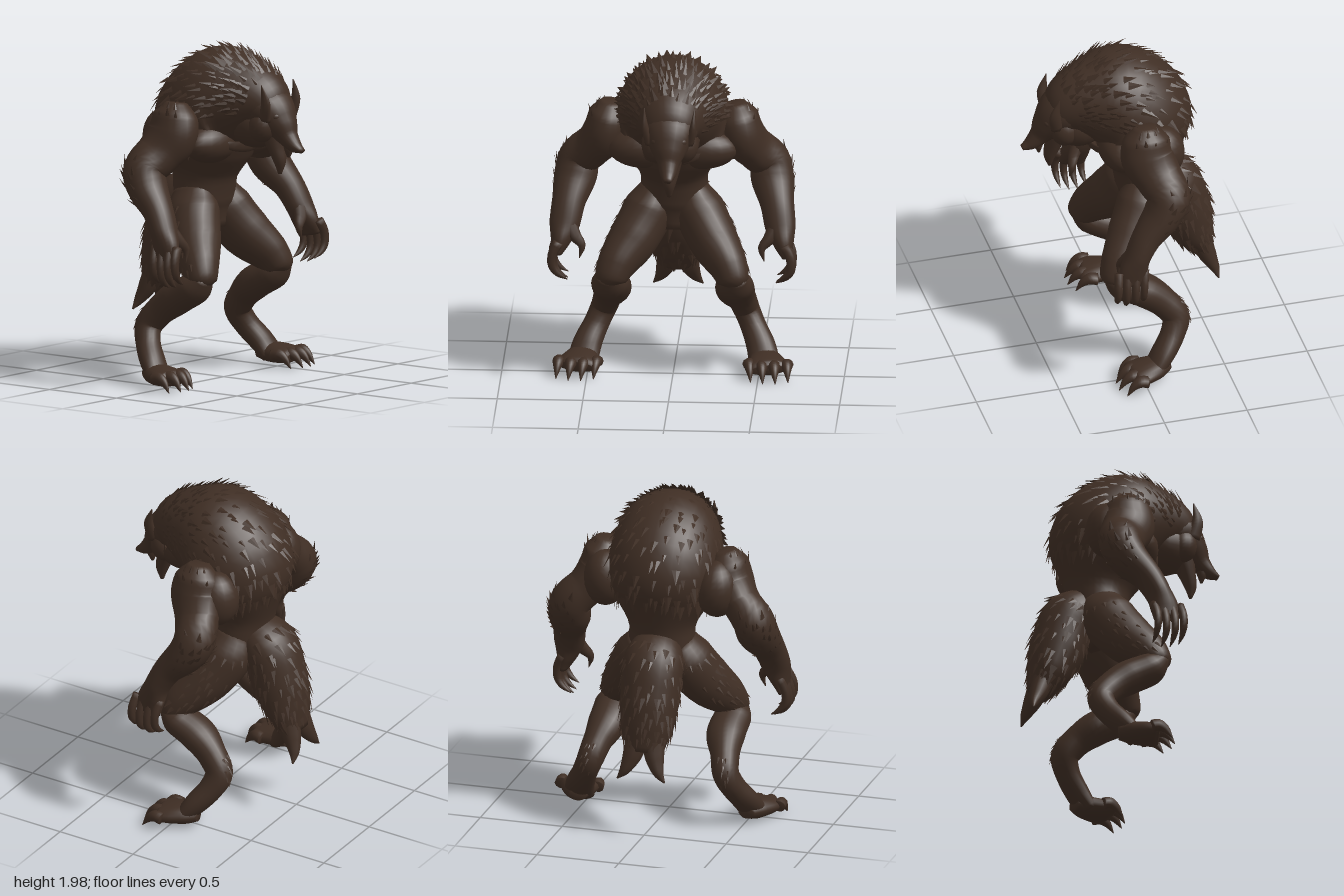
import * as THREE from 'three';

const V = (x, y, z) => new THREE.Vector3(x, y, z);

// Smooth tapering body through sections [x, y, z, halfWidth, halfDepth]
function makeSurface(sections) {
  const path = new THREE.CatmullRomCurve3(sections.map(s => V(s[0], s[1], s[2])));
  const size = new THREE.CatmullRomCurve3(sections.map(s => V(s[3], s[4], 0)));
  return (t, angle) => {
    const centre = path.getPoint(t), r = size.getPoint(t), along = path.getTangent(t);
    const side = V(1, 0, 0).addScaledVector(along, -along.x).normalize();
    const up = along.clone().cross(side);
    const w = Math.max(r.x, 0.002), d = Math.max(r.y, 0.002);
    const c = Math.cos(angle), s = Math.sin(angle);
    return {
      centre, along,
      point: centre.clone().addScaledVector(side, w * c).addScaledVector(up, d * s),
      normal: side.clone().multiplyScalar(c / w).addScaledVector(up, s / d).normalize(),
    };
  };
}

function loft(sections, sides = 20, perSection = 5) {
  const surface = makeSurface(sections), rows = (sections.length - 1) * perSection;
  const pos = [], index = [];
  for (let i = 0; i <= rows; i++) {
    for (let j = 0; j < sides; j++) pos.push(...surface(i / rows, j / sides * Math.PI * 2).point.toArray());
  }
  for (let i = 0; i < rows; i++) {
    for (let j = 0; j < sides; j++) {
      const k = (j + 1) % sides, a = i * sides + j, b = i * sides + k;
      index.push(a, b, a + sides, b, b + sides, a + sides);
    }
  }
  const start = pos.length / 3, last = rows * sides;
  pos.push(...surface(0, 0).centre.toArray(), ...surface(1, 0).centre.toArray());
  for (let j = 0; j < sides; j++) {
    const k = (j + 1) % sides;
    index.push(start, k, j, start + 1, last + j, last + k);
  }
  const g = new THREE.BufferGeometry();
  g.setAttribute('position', new THREE.Float32BufferAttribute(pos, 3));
  g.setIndex(index);
  g.computeVertexNormals();
  return g;
}

// Flat pointed tufts scattered over a lofted surface; flow is +1 or -1 along its path
function fur(sections, { rows, cols, t0, t1, a0, a1, length, flow, lift = 0.2, seed = 7 }) {
  const random = () => (seed = (seed * 16807) % 2147483647) / 2147483647;
  const surface = makeSurface(sections), pos = [];
  for (let i = 0; i < rows; i++) {
    for (let j = 0; j < cols; j++) {
      const t = t0 + (t1 - t0) * (i + random()) / rows;
      const a = a0 + (a1 - a0) * (j + 0.5 * (i % 2) + 0.7 * random()) / cols;
      const { point } = surface(t, a);
      // Follow the skin itself so tufts lie along it where the body widens or narrows
      const along = surface(t + 0.004, a).point.sub(surface(t - 0.004, a).point).normalize();
      const round = surface(t, a + 0.02).point.sub(surface(t, a - 0.02).point).normalize();
      const normal = round.clone().cross(along).normalize();
      const len = length * (0.7 + 0.6 * random());
      const across = round.multiplyScalar(-len * 0.3);
      const root = point.clone().addScaledVector(normal, -0.004);
      const left = root.clone().add(across), right = root.clone().sub(across);
      const ridge = point.clone().addScaledVector(normal, len * 0.04);
      const tip = point.clone().addScaledVector(along, flow * len).addScaledVector(normal, len * lift);
      const [l, r] = flow > 0 ? [left, right] : [right, left];
      for (const p of [ridge, l, tip, r, ridge, tip]) pos.push(...p.toArray());
    }
  }
  const g = new THREE.BufferGeometry();
  g.setAttribute('position', new THREE.Float32BufferAttribute(pos, 3));
  g.setIndex(pos.slice(0, pos.length / 3).map((_, i) => i));
  g.computeVertexNormals();
  return g;
}

function mirrored(geometry) {
  const g = geometry.clone().scale(-1, 1, 1), idx = g.index.array;
  for (let i = 0; i < idx.length; i += 3) [idx[i], idx[i + 1]] = [idx[i + 1], idx[i]];
  g.computeVertexNormals();
  return g;
}

export function createModel() {
  const model = new THREE.Group();
  model.name = 'wolfBeast';
  const brownFur = new THREE.MeshStandardMaterial({ color: 0x3f2e24, side: THREE.DoubleSide });
  brownFur.name = 'brownFur';
  const add = (name, geometry) => {
    const mesh = new THREE.Mesh(geometry, brownFur);
    mesh.name = name;
    model.add(mesh);
  };
  const pair = (name, geometry) => {
    add(name + 'Left', geometry);
    add(name + 'Right', mirrored(geometry));
  };
  const ball = (x, y, z, rx, ry, rz) =>
    new THREE.SphereGeometry(1, 20, 14).scale(rx, ry, rz).translate(x, y, z);

  // Hunched torso running from the pelvis into the neck
  const torso = [
    [0, 0.87, -0.1, 0.09, 0.09], [0, 1.02, -0.14, 0.2, 0.16], [0, 1.19, -0.14, 0.195, 0.185],
    [0, 1.36, -0.12, 0.285, 0.27], [0, 1.54, -0.09, 0.335, 0.335], [0, 1.65, 0.03, 0.32, 0.325],
    [0, 1.67, 0.17, 0.26, 0.255], [0, 1.65, 0.3, 0.19, 0.19], [0, 1.6, 0.39, 0.13, 0.11],
  ];
  add('torso', loft(torso, 32));
  add('mane', fur(torso, { rows: 19, cols: 15, t0: 0.36, t1: 0.88, a0: -0.25, a1: Math.PI + 0.25, length: 0.07, flow: -1, lift: 0.33 }));
  pair('chestMuscle', ball(0.17, 1.42, 0.045, 0.21, 0.12, 0.125));
  add('throat', ball(0, 1.54, 0.25, 0.17, 0.15, 0.17));

  // Head with an open muzzle
  add('head', loft([
    [0, 1.67, 0.2, 0.19, 0.16], [0, 1.62, 0.35, 0.16, 0.14], [0, 1.54, 0.43, 0.108, 0.1],
    [0, 1.47, 0.485, 0.062, 0.06], [0, 1.425, 0.535, 0.045, 0.04], [0, 1.4, 0.588, 0.022, 0.014],
  ]));
  pair('cheek', ball(0.08, 1.54, 0.35, 0.085, 0.1, 0.085));
  add('lowerJaw', loft([
    [0, 1.5, 0.37, 0.085, 0.08], [0, 1.4, 0.4, 0.06, 0.05],
    [0, 1.32, 0.42, 0.036, 0.036], [0, 1.25, 0.42, 0.012, 0.01],
  ], 14));
  add('upperLip', loft([[0, 1.44, 0.49, 0.04, 0.04], [0, 1.395, 0.488, 0.03, 0.024], [0, 1.355, 0.485, 0.01, 0.008]], 10));
  pair('brow', ball(0.06, 1.6, 0.45, 0.045, 0.03, 0.03));
  pair('ear', loft([
    [0.12, 1.58, 0.4, 0.025, 0.045], [0.14, 1.68, 0.425, 0.02, 0.034], [0.148, 1.79, 0.4, 0.002, 0.003],
  ], 8));

  // Arms with heavy shoulders
  const arm = [
    [0.36, 1.67, -0.06, 0.06, 0.06], [0.375, 1.59, -0.06, 0.12, 0.14], [0.4, 1.48, -0.065, 0.13, 0.16],
    [0.47, 1.375, -0.11, 0.115, 0.14], [0.555, 1.285, -0.15, 0.122, 0.125], [0.575, 1.19, -0.11, 0.126, 0.115],
    [0.61, 1.06, 0, 0.098, 0.085], [0.63, 0.95, 0.06, 0.09, 0.075], [0.65, 0.86, 0.09, 0.062, 0.085],
    [0.67, 0.78, 0.1, 0.03, 0.08],
  ];
  pair('arm', loft(arm, 22));
  pair('shoulderBlade', ball(0.34, 1.46, -0.16, 0.13, 0.17, 0.14));
  pair('shoulderTufts', fur(arm, { rows: 2, cols: 4, t0: 0.04, t1: 0.13, a0: -1.2, a1: 0.8, length: 0.04, flow: -1, lift: 0.4 }));
  pair('elbowTufts', fur(arm, { rows: 5, cols: 5, t0: 0.42, t1: 0.62, a0: -2, a1: 0.2, length: 0.05, flow: -1, lift: 0.3, seed: 21 }));

  // Curled clawed fingers and thumb
  for (let i = 0; i < 4; i++) {
    const z = 0.025 + i * 0.052, drop = 0.02 * Math.sin(i * 1.2);
    pair('finger' + (i + 1), loft([
      [0.66, 0.87, z, 0.03, 0.027], [0.695, 0.79 - drop, z + 0.012, 0.027, 0.025],
      [0.695, 0.72 - drop, z + 0.015, 0.025, 0.022], [0.665, 0.675 - drop, z + 0.012, 0.019, 0.016],
      [0.61, 0.64 - drop, z + 0.005, 0.002, 0.002],
    ], 8, 3));
  }
  pair('thumb', loft([
    [0.61, 0.96, 0.08, 0.05, 0.045], [0.565, 0.89, 0.12, 0.036, 0.034], [0.525, 0.84, 0.14, 0.023, 0.023],
    [0.54, 0.765, 0.15, 0.002, 0.002],
  ], 8, 3));

  // Thighs and backward-bent lower legs
  const thigh = [
    [0.1, 1.12, -0.15, 0.09, 0.12], [0.15, 0.98, -0.11, 0.15, 0.165], [0.235, 0.83, -0.02, 0.145, 0.155],
    [0.325, 0.71, 0.08, 0.115, 0.12], [0.36, 0.63, 0.13, 0.09, 0.085], [0.365, 0.59, 0.14, 0.03, 0.03],
  ];
  pair('thigh', loft(thigh, 22));
  pair('thighTufts', fur(thigh, { rows: 6, cols: 4, t0: 0.15, t1: 0.7, a0: -1.3, a1: 0.3, length: 0.05, flow: 1 }));
  const shin = [
    [0.37, 0.66, 0.16, 0.06, 0.045], [0.365, 0.59, 0.08, 0.11, 0.095], [0.36, 0.52, -0.05, 0.115, 0.1],
    [0.39, 0.43, -0.165, 0.085, 0.088], [0.415, 0.34, -0.228, 0.078, 0.083], [0.455, 0.25, -0.2, 0.075, 0.073],
    [0.505, 0.15, -0.125, 0.085, 0.066], [0.53, 0.07, -0.06, 0.09, 0.05],
  ];
  pair('lowerLeg', loft(shin, 20));
  pair('hockTufts', fur(shin, { rows: 3, cols: 3, t0: 0.48, t1: 0.62, a0: -2, a1: -1, length: 0.04, flow: 1, seed: 5 }));

  // Broad feet with clawed toes
  pair('foot', loft([
    [0.51, 0.085, -0.15, 0.05, 0.04], [0.53, 0.085, -0.08, 0.09, 0.06], [0.547, 0.08, 0, 0.115, 0.058],
    [0.555, 0.075, 0.06, 0.125, 0.048], [0.56, 0.07, 0.085, 0.1, 0.028],
  ], 18));
  for (let i = 0; i < 4; i++) {
    const x = 0.445 + i * 0.073, reach = i === 0 || i === 3 ? -0.02 : 0.01;
    pair('toe' + (i + 1), loft([
      [x, 0.08, 0.01, 0.04, 0.035], [x + 0.003, 0.088, 0.07 + reach, 0.036, 0.036],
      [x + 0.007, 0.068, 0.11 + reach, 0.024, 0.026], [x + 0.014, 0.01, 0.155 + reach, 0.002, 0.002],
    ], 10, 4));
  }

  // Thick shaggy tail with a forked end
  const tail = [
    [0, 1.13, -0.2, 0.13, 0.11], [0, 1.01, -0.32, 0.18, 0.165], [0, 0.82, -0.385, 0.175, 0.165],
    [0, 0.65, -0.445, 0.155, 0.125], [0, 0.52, -0.5, 0.1, 0.065],
  ];
  add('tail', loft(tail, 24));
  add('tailTufts', fur(tail, { rows: 11, cols: 13, t0: 0.12, t1: 0.92, a0: 0, a1: Math.PI * 2, length: 0.07, flow: 1, lift: 0.22 }));
  pair('tailTip', loft([
    [0.045, 0.62, -0.47, 0.075, 0.07], [0.07, 0.5, -0.515, 0.058, 0.055],
    [0.105, 0.42, -0.55, 0.032, 0.03], [0.145, 0.37, -0.565, 0.004, 0.004],
  ], 10));

  return model;
}
